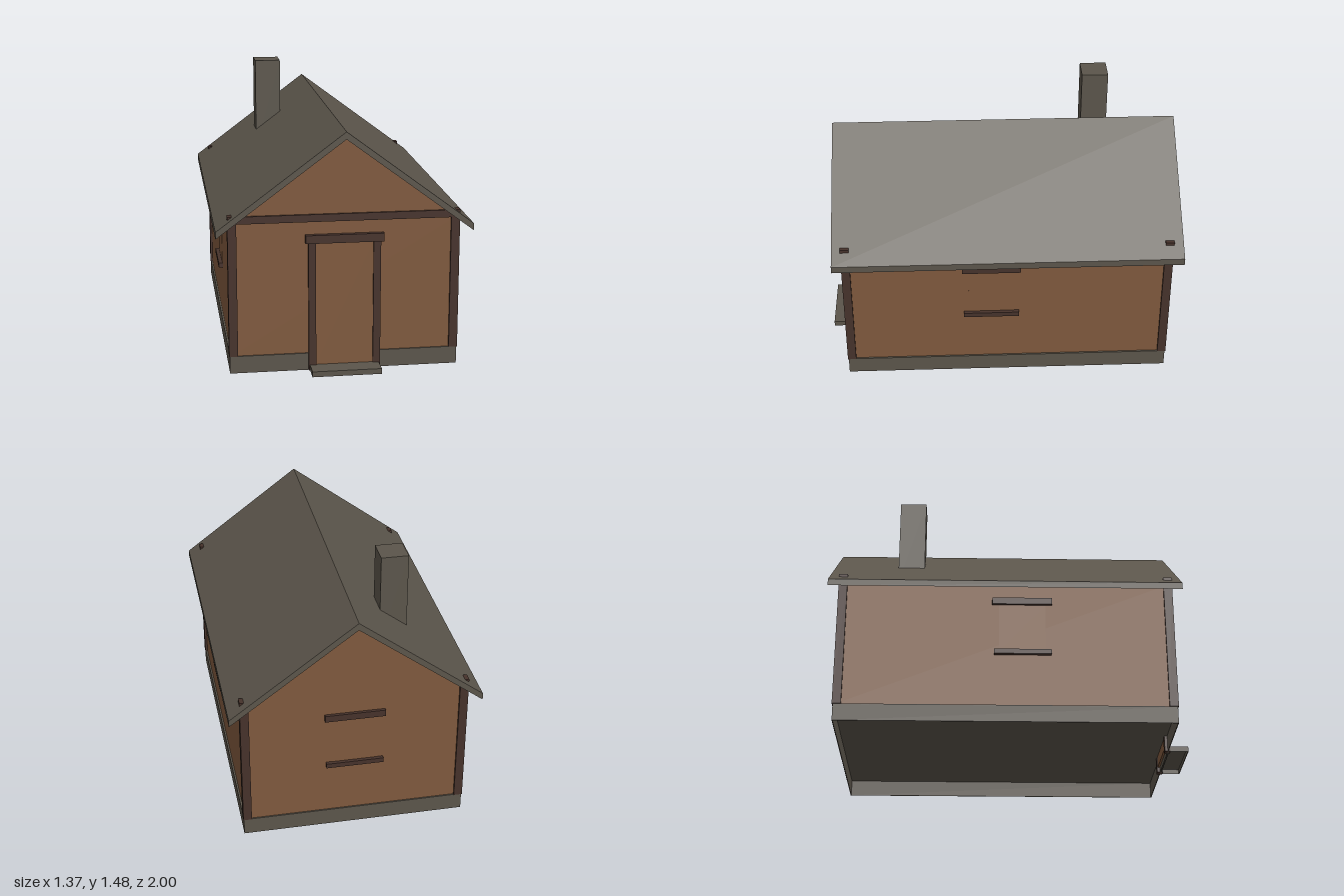
import * as THREE from 'three';

const CZ = -0.0275; // middle of the house along its depth

const mat = (name, color) => {
  const m = new THREE.MeshStandardMaterial({ color });
  m.name = name;
  return m;
};

export function createModel() {
  const house = new THREE.Group();
  house.name = 'house';
  const plaster = mat('brown wall', 0x7f593d);
  const timber = mat('dark timber', 0x46322b);
  const stone = mat('grey stone', 0x5b554b);

  const add = (name, geometry, material) => {
    const mesh = new THREE.Mesh(geometry, material);
    mesh.name = name;
    house.add(mesh);
    return mesh;
  };
  // Box given by its lowest and highest corners
  const block = (name, material, [x0, y0, z0], [x1, y1, z1]) =>
    add(name, new THREE.BoxGeometry(x1 - x0, y1 - y0, z1 - z0), material)
      .position.set((x0 + x1) / 2, (y0 + y1) / 2, (z0 + z1) / 2);
  // Outline in x and y, drawn out from z0 to z1
  const prism = (name, material, points, z0, z1) => {
    const shape = new THREE.Shape(points.map(([x, y]) => new THREE.Vector2(x, y)));
    const g = new THREE.ExtrudeGeometry(shape, { depth: z1 - z0, bevelEnabled: false });
    add(name, g.translate(0, 0, z0), material);
  };
  // Slab that is hollow underneath
  const hollowBlock = (name, material, w, h, z0, z1) => {
    const t = 0.004;
    block(name + 'Top', material, [-w, h - t, z0], [w, h, z1]);
    block(name + 'Front', material, [-w, 0, z1 - t], [w, h - t, z1]);
    block(name + 'Back', material, [-w, 0, z0], [w, h - t, z0 + t]);
    for (const s of [-1, 1]) {
      const x = s * (w - t / 2);
      block(name + 'Side', material, [x - t / 2, 0, z0 + t], [x + t / 2, h - t, z1 - t]);
    }
  };

  // Base and doorstep
  hollowBlock('foundation', stone, 0.617, 0.095, -0.943, 0.888);
  hollowBlock('doorstep', stone, 0.187, 0.03, 0.889, 1.0);

  // Walls with gables
  prism('walls', plaster,
    [[-0.607, 0.095], [0.607, 0.095], [0.607, 0.83], [0, 1.28], [-0.607, 0.83]], -0.935, 0.88);

  // Roof
  prism('roof', stone,
    [[-0.685, 0.762], [0, 1.272], [0.685, 0.762], [0.685, 0.8], [0, 1.312], [-0.685, 0.8]], -1.0, 0.94);

  // Chimney
  block('chimney', stone, [-0.345, 0.95, -0.64], [-0.195, 1.48, -0.49]);

  // Corner posts, their tops just through the roof
  for (const s of [-1, 1]) {
    for (const z of [CZ - 0.896, CZ + 0.896]) {
      const x = s * 0.597;
      block('cornerPost', timber, [x - 0.0235, 0.095, z - 0.024], [x + 0.0235, 0.866, z + 0.024]);
    }
  }
  block('gableBeam', timber, [-0.6, 0.825, 0.86], [0.6, 0.865, 0.892]);

  // Door and its frame
  block('door', plaster, [-0.155, 0.03, 0.872], [0.155, 0.71, 0.891]);
  for (const s of [-1, 1]) {
    const x = s * 0.174;
    block('doorPost', timber, [x - 0.02, 0, 0.868], [x + 0.02, 0.71, 0.9]);
  }
  block('doorHeader', timber, [-0.21, 0.71, 0.868], [0.21, 0.755, 0.908]);

  // Side windows: shuttered pane, lintel and sill
  for (const s of [-1, 1]) {
    const side = (name, m, out, y0, y1, z0, z1) => {
      const xs = [s * 0.59, s * out].sort((a, b) => a - b);
      block(name, m, [xs[0], y0, z0], [xs[1], y1, z1]);
    };
    side('windowPane', plaster, 0.609, 0.415, 0.69, -0.065, 0.19);
    side('windowLintel', timber, 0.625, 0.69, 0.728, -0.102, 0.225);
    side('windowSill', timber, 0.63, 0.39, 0.417, -0.092, 0.22);
  }

  // Back window
  block('windowPane', plaster, [-0.13, 0.415, -0.937], [0.13, 0.69, -0.92]);
  block('windowLintel', timber, [-0.165, 0.69, -0.952], [0.165, 0.728, -0.92]);
  block('windowSill', timber, [-0.158, 0.39, -0.956], [0.158, 0.417, -0.92]);

  return house;
}
